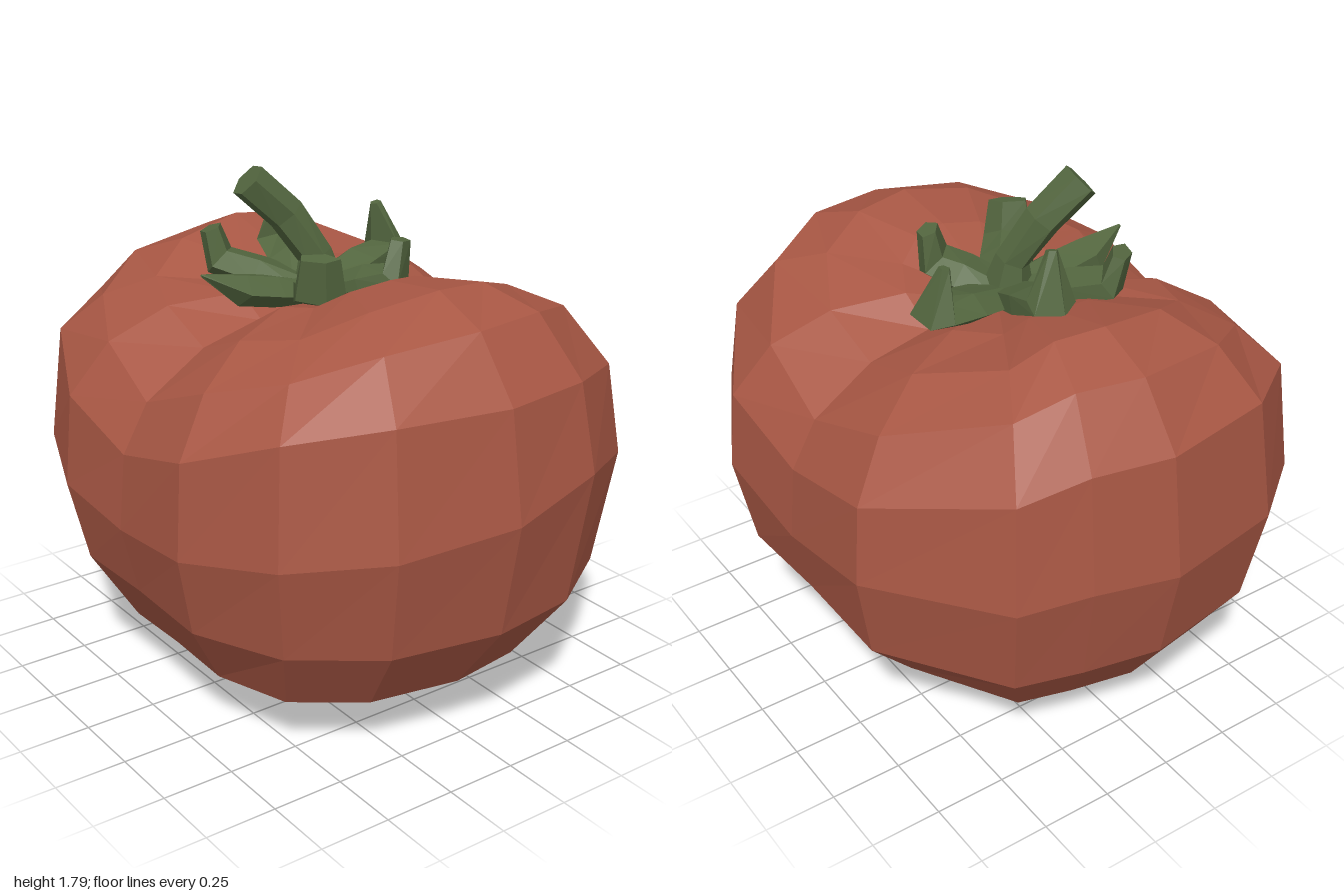
import * as THREE from 'three';

const V = (x, y, z) => new THREE.Vector3(x, y, z);
const red = new THREE.MeshStandardMaterial({ color: 0xa85744, flatShading: true });
const green = new THREE.MeshStandardMaterial({ color: 0x53663f, flatShading: true });

// Skin a list of equally sized rings; collapsed rings close the ends
function loft(rings, material, name) {
  const pos = [];
  const tri = (a, b, c) => {
    const area = b.clone().sub(a).cross(c.clone().sub(a)).length();
    if (area > 1e-7) for (const p of [a, b, c]) pos.push(p.x, p.y, p.z);
  };
  for (let i = 0; i + 1 < rings.length; i++) {
    const n = rings[i].length;
    for (let j = 0; j < n; j++) {
      const k = (j + 1) % n;
      tri(rings[i][j], rings[i + 1][j], rings[i][k]);
      tri(rings[i][k], rings[i + 1][j], rings[i + 1][k]);
    }
  }
  const geo = new THREE.BufferGeometry();
  geo.setAttribute('position', new THREE.Float32BufferAttribute(pos, 3));
  geo.computeVertexNormals();
  const mesh = new THREE.Mesh(geo, material);
  mesh.name = name;
  return mesh;
}

// Sweep an n-sided section along points; sizes are [half width, half thickness]
function sweep(points, sizes, side, n, name) {
  const rings = points.map((p, i) => {
    const t = points[Math.min(i + 1, points.length - 1)].clone()
      .sub(points[Math.max(i - 1, 0)]).normalize();
    const u = side.clone().addScaledVector(t, -side.dot(t)).normalize();
    const v = u.clone().cross(t);
    return Array.from({ length: n }, (_, j) => {
      const a = (j / n) * Math.PI * 2;
      return p.clone().addScaledVector(u, Math.cos(a) * sizes[i][0])
        .addScaledVector(v, Math.sin(a) * sizes[i][1]);
    });
  });
  const cap = (p) => Array(n).fill(p);
  return loft([cap(points[0]), ...rings, cap(points[points.length - 1])], green, name);
}

// Two-lobed fruit: an uneven outline scaled through rings, creased along x
function makeBody() {
  const outline = [
    [0.83, 0], [0.85, 0.38], [0.65, 0.76], [0.35, 0.95], [0, 1], [-0.41, 0.92], [-0.7, 0.71], [-0.85, 0.38],
    [-0.84, 0], [-0.85, -0.35], [-0.72, -0.7], [-0.44, -0.92], [0, -1], [0.29, -0.94], [0.53, -0.87], [0.83, -0.43],
  ];
  // Height of the widest ring at each column
  const waist = [0.69, 0.77, 0.86, 0.92, 0.85, 0.81, 0.78, 0.73, 0.69, 0.73, 0.77, 0.8, 0.8, 0.82, 0.8, 0.77];
  // Upper profiles from the crease (0) to the crown of a lobe (3)
  const upper = [
    [[0.97, 0.95], [0.86, 1.11], [0.6, 1.25], [0.33, 1.3]],
    [[0.97, 1.05], [0.82, 1.23], [0.6, 1.34], [0.33, 1.38]],
    [[0.95, 1.17], [0.79, 1.36], [0.6, 1.45], [0.33, 1.43]],
    [[0.94, 1.22], [0.78, 1.42], [0.58, 1.5], [0.33, 1.47]],
  ];
  // How far the crown falls towards -x, per upper ring
  const slope = { 6: 0.1, 7: 0.17, 8: 0.15 };
  const shift = [-0.04, -0.06, -0.03];
  const rings = Array.from({ length: 10 }, (_, i) => outline.map(([x, z], j) => {
    const d = Math.min(j % 8, 8 - (j % 8));
    const diagonal = Math.abs(Math.sin((j * Math.PI) / 4));
    const profile = [[0, 0], [0.46 - 0.07 * diagonal, 0.05], [0.76 - (d < 2 ? 0.03 : 0), 0.21],
      [0.93, 0.45], [1, waist[j]], ...upper[Math.min(d, 3)], [0, 1.32]];
    const [s, y] = profile[i];
    let drop = 0;
    if (d > 1 && slope[i]) drop = Math.max(-slope[i] * x * s, i > 6 ? 0.08 * x * s : 0);
    // The hollow is deeper on the back lobe
    if (i === 8 && z < 0) drop -= 0.1 * z * s;
    return V(x * s + (shift[i] ?? 0), y - drop, z * s);
  }));
  return loft(rings, red, 'fruitBody');
}

export function createModel() {
  const group = new THREE.Group();
  group.name = 'tomato';
  group.add(makeBody());

  // Leaning stem
  group.add(sweep(
    [V(-0.03, 1.33, -0.01), V(-0.04, 1.48, -0.03), V(-0.12, 1.62, -0.08), V(-0.245, 1.745, -0.12)],
    [[0.1, 0.1], [0.06, 0.06], [0.065, 0.065], [0.07, 0.065]], V(0, 0, 1), 6, 'stem'));

  // Six curled sepals: elbow, tip, tip half width
  const sepals = [
    [V(-0.34, 1.41, -0.04), V(-0.48, 1.48, -0.04), 0.005],
    [V(-0.26, 1.44, -0.28), V(-0.28, 1.55, -0.3), 0.06],
    [V(0.03, 1.47, -0.34), V(0, 1.64, -0.3), 0.02],
    [V(0.33, 1.43, -0.12), V(0.29, 1.59, -0.13), 0.02],
    [V(0.13, 1.43, 0.19), V(0.15, 1.55, 0.19), 0.05],
    [V(-0.19, 1.43, 0.2), V(-0.2, 1.55, 0.22), 0.07],
  ];
  const calyx = new THREE.Group();
  calyx.name = 'calyx';
  for (const [elbow, tip, w] of sepals) {
    const root = V(-0.03, 1.35, -0.02);
    const mid = root.clone().lerp(elbow, 0.6);
    const side = V(elbow.z - root.z, 0, root.x - elbow.x).normalize();
    calyx.add(sweep([root, mid, elbow, tip],
      [[0.09, 0.04], [0.1, 0.055], [0.09, 0.055], [w, Math.min(w, 0.035)]], side, 5, 'sepal'));
  }
  group.add(calyx);
  return group;
}
